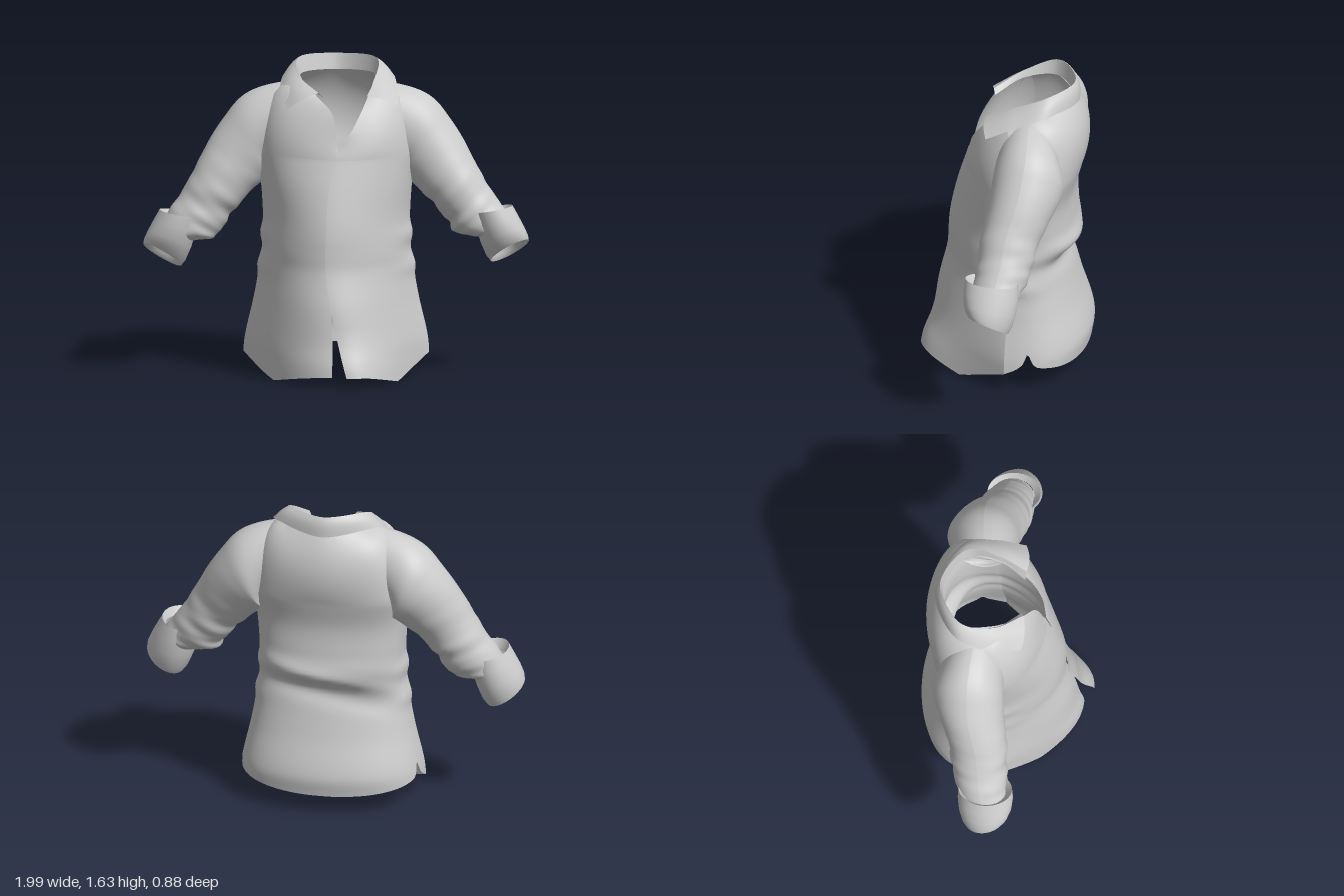
import * as THREE from 'three';
import { toCreasedNormals } from 'three/addons/utils/BufferGeometryUtils.js';

const cloth = new THREE.MeshStandardMaterial({ color: 0xcccccc, side: THREE.DoubleSide });
const { lerp, smoothstep } = THREE.MathUtils;
const bump = (v, width) => Math.exp(-((v / width) ** 2));

// Smooth (or linear) lookup in rows of [key, ...values]
function lookup(rows, key, smooth = true) {
  const last = rows.length - 1;
  let i = 0;
  while (i < last - 1 && key > rows[i + 1][0]) i++;
  const a = rows[i], b = rows[i + 1], h = b[0] - a[0];
  const t = Math.min(1, Math.max(0, (key - a[0]) / h));
  const p = rows[Math.max(0, i - 1)], n = rows[Math.min(last, i + 2)];
  return a.slice(1).map((v, k) => {
    const c = k + 1;
    if (!smooth) return lerp(v, b[c], t);
    const m0 = (b[c] - p[c]) / (b[0] - p[0]) * h, m1 = (n[c] - a[c]) / (n[0] - a[0]) * h;
    const t2 = t * t, t3 = t2 * t;
    return v * (2 * t3 - 3 * t2 + 1) + m0 * (t3 - 2 * t2 + t) + b[c] * (3 * t2 - 2 * t3) + m1 * (t3 - t2);
  });
}

// Grid surface from a function of (u, v) in 0..1
function sheet(name, fn, nu, nv, crease = 0) {
  let geo = new THREE.PlaneGeometry(1, 1, nu, nv);
  const pos = geo.attributes.position;
  for (let j = 0; j <= nv; j++)
    for (let i = 0; i <= nu; i++) {
      const [x, y, z] = fn(i / nu, j / nv);
      pos.setXYZ(j * (nu + 1) + i, x, y, z);
    }
  geo.computeVertexNormals();
  if (crease) geo = toCreasedNormals(geo, crease);
  const mesh = new THREE.Mesh(geo, cloth);
  mesh.name = name;
  return mesh;
}

const curve = pts => new THREE.CatmullRomCurve3(pts.map(p => new THREE.Vector3(...p)));

// Body sections: height, half width, front z, back z, side seam z, front pointedness, back roundness
const body = [
  [0, .48, .40, -.42, -.05, 2.15, .7],
  [.1, .48, .395, -.43, -.05, 2.15, .7],
  [.2, .47, .375, -.44, -.05, 2, .7],
  [.4, .425, .35, -.38, -.06, 1.75, .7],
  [.58, .395, .31, -.335, -.07, 1.5, .7],
  [.66, .395, .305, -.325, -.07, 1.45, .7],
  [.75, .38, .30, -.37, -.07, 1.4, .7],
  [.85, .38, .285, -.36, -.08, 1.35, .65],
  [1, .39, .25, -.355, -.08, 1.2, .58],
  [1.15, .405, .205, -.39, -.09, 1.05, .5],
];
// Hem height by depth, with a notch at the side seam
const hem = [[-.43, .1], [-.22, .15], [-.195, .17], [-.17, .235], [-.145, .17], [-.11, .14], [.15, .02],
  [.2, 0], [.26, .015], [.4, .05]];
// Front edge x of the two panels: height, left, right
const edges = [[0, .09, 0], [.2, .035, 0], [.4, -.01, -.005], [.6, -.04, 0], [.8, -.035, 0], [1, -.025, .005], [1.15, .01, .02]];
// Neckline from the left front edge round the back to the right front edge
const neck = curve([[.02, 1.2, .2], [.09, 1.3, .17], [.15, 1.42, .085], [.19, 1.52, -.07], [.18, 1.54, -.25],
  [0, 1.54, -.34], [-.18, 1.54, -.25], [-.17, 1.52, -.07], [-.09, 1.46, .07], [-.01, 1.38, .14], [.02, 1.2, .19]]);

function bodyPoint(a, side, y) {
  const [w, zf, zb, zs, q, round] = lookup(body, y);
  const c = Math.cos(a), s = Math.sin(a), front = Math.max(0, c) ** 6;
  const [left, right] = lookup(edges, y);
  const x = side * w * s + (side > 0 ? left : right) * front;
  let z = c > 0 ? zs + (zf - zs) * c ** q : zs - (zs - zb) * (-c) ** round;
  if (side > 0) z += front * (.012 + .035 * (1 - smoothstep(y, 0, .3)));
  // slanting creases across the waist at the back
  if (c < 0) z += c * (.022 * bump(y - .72 - .18 * x, .045) - .015 * bump(y - .62 - .18 * x, .05));
  // small gathers at the sides of the waist
  const gather = .012 * s ** 6 * (bump(y - .57, .04) - bump(y - .66, .04) + bump(y - .74, .04));
  return new THREE.Vector3(x + side * gather, y, z);
}

function torso(u, v) {
  const side = u <= .5 ? 1 : -1, a = Math.PI * (u <= .5 ? 2 * u : 2 - 2 * u);
  const split = .66, s = Math.sin(a), c = Math.cos(a);
  if (v <= split) {
    const bottom = lookup(hem, bodyPoint(a, side, .12).z, false)[0];
    return bodyPoint(a, side, lerp(bottom, 1.15, v / split)).toArray();
  }
  // yoke: bend from the chest over the shoulder to the neckline
  const p = bodyPoint(a, side, 1.15), n = neck.getPoint(u), bend = p.clone().lerp(n, .08 * s * s);
  bend.y = lerp(p.y, n.y, .55 + .68 * s * s);
  bend.z += c < 0 ? .075 * c : -.2 * c * (bend.y - p.y) + .08 * c * s * s;
  return new THREE.QuadraticBezierCurve3(p, bend, n).getPoint((v - split) / (1 - split)).toArray();
}

// Ring rows: x, y, z, radius across, radius in z, tilt of the ring, forward lean
const sleeveRows = [
  [.315, 1.275, -.15, .235, .16, 1.78, 0],
  [.405, 1.235, -.165, .213, .182, 1.25, 0],
  [.455, 1.175, -.158, .192, .18, .87, 0],
  [.515, 1.105, -.138, .175, .168, .68, 0],
  [.605, .99, -.1, .15, .152, .62, 0],
  [.68, .885, -.085, .138, .142, .58, 0],
  [.745, .80, -.065, .138, .135, .48, 0],
  [.835, .75, -.05, .088, .11, .35, 0],
];
const cuffRows = [
  [.81, .83, -.045, .085, .11, .2, 0],
  [.81, .865, -.04, .103, .138, .18, .01],
  [.832, .80, -.038, .114, .143, .25, .015],
  [.86, .73, -.036, .12, .136, .36, .025],
  [.884, .675, -.035, .12, .12, .46, .035],
  [.897, .648, -.035, .112, .102, .5, .04],
  [.885, .67, -.035, .088, .085, .5, .04],
  [.84, .77, -.045, .088, .1, .3, .02],
];

function ringTube(name, rows, side, steps, ripple, crease) {
  const keyed = rows.map((r, i) => [i, ...r]);
  return sheet(name, (u, v) => {
    const k = v * (rows.length - 1);
    const [x, y, z, rn, rz, tilt, lean] = lookup(keyed, k, !crease);
    const t = u * Math.PI * 2;
    // gathered folds, strongest on the underside of the lower arm
    const fold = Math.sin(k * 6 + 2 * Math.sin(t + side)) + .5 * Math.sin(k * 10.3 - 2 * t);
    const r = 1 + ripple * smoothstep(k, 2.5, 5) * (.7 - .4 * Math.cos(t)) * fold;
    const across = Math.cos(t) * rn * r;
    const drop = side < 0 ? -.035 * smoothstep(x, .5, .85) : 0;
    return [side * (x + across * Math.cos(tilt)), y + across * Math.sin(tilt) + lean * Math.sin(t) + drop,
      z + Math.sin(t) * rz * r];
  }, 40, steps, crease);
}

// Collar lines: base of the stand, fold, and outer edge with the two points
const collarBase = curve([[.14, 1.41, .08], [.19, 1.5, -.05], [.19, 1.54, -.22], [0, 1.54, -.335],
  [-.18, 1.54, -.22], [-.17, 1.51, -.05], [-.06, 1.46, .08]]);
const collarFold = curve([[.165, 1.47, .085], [.205, 1.55, -.06], [.2, 1.62, -.23], [0, 1.622, -.35],
  [-.2, 1.62, -.23], [-.19, 1.55, -.06], [-.085, 1.485, .09]]);
const collarEdge = curve([[.325, 1.42, .07], [.315, 1.49, -.08], [.265, 1.545, -.25], [0, 1.52, -.375],
  [-.255, 1.545, -.25], [-.29, 1.48, -.08], [-.245, 1.4, .09]]);

function collarFall(u, v) {
  const p = collarFold.getPoint(u).lerp(collarEdge.getPoint(u), v);
  const puff = .018 * Math.sin(Math.PI * v);
  const front = smoothstep(Math.abs(u - .5), .2, .5);
  return [p.x, p.y + puff * .6, p.z + puff * lerp(-.4, .8, front)];
}

export function createModel() {
  const shirt = new THREE.Group();
  shirt.name = 'shirt';
  shirt.add(sheet('torso', torso, 240, 80));

  const collar = new THREE.Group();
  collar.name = 'collar';
  collar.add(
    sheet('collarStand', (u, v) => collarBase.getPoint(u).lerp(collarFold.getPoint(u), v).toArray(), 60, 4),
    sheet('collarFall', collarFall, 60, 8),
  );
  shirt.add(collar);

  for (const [side, word] of [[1, 'left'], [-1, 'right']]) {
    shirt.add(
      ringTube(word + 'Sleeve', sleeveRows, side, 56, .035, 0),
      ringTube(word + 'Cuff', cuffRows, side, cuffRows.length - 1, 0, .9),
    );
  }
  return shirt;
}
